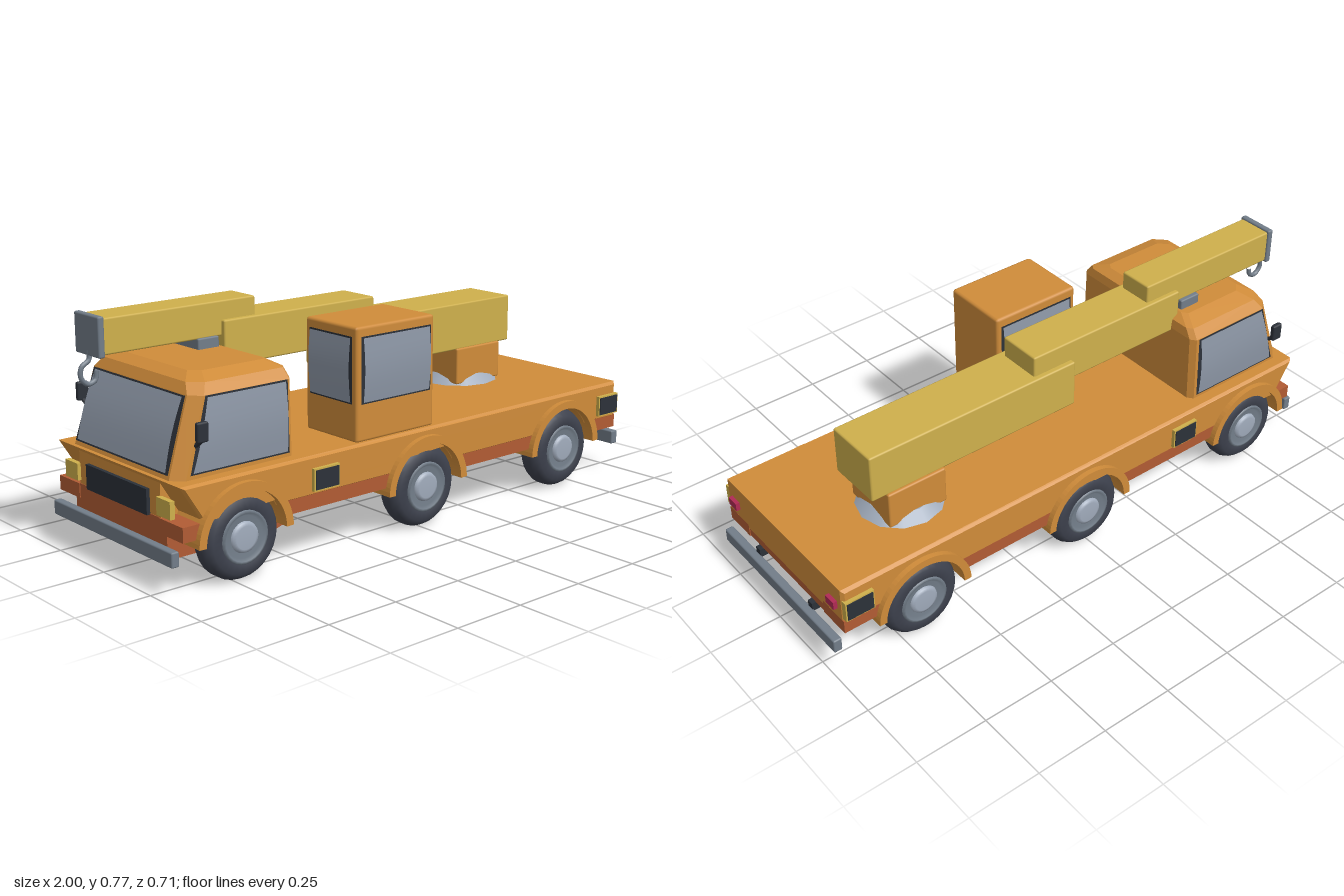
import * as THREE from 'three';
import { RoundedBoxGeometry } from 'three/addons/geometries/RoundedBoxGeometry.js';
import { ConvexGeometry } from 'three/addons/geometries/ConvexGeometry.js';

const mat = (name, color, extra = {}) => {
  const m = new THREE.MeshStandardMaterial({ color, ...extra });
  m.name = name;
  return m;
};

export function createModel() {
  const truck = new THREE.Group();
  truck.name = 'craneTruck';

  const orange = mat('orange paint', 0xd08c3a);
  const rust = mat('rust underbody', 0xb25c34);
  const yellow = mat('yellow paint', 0xcfb04c);
  const glass = mat('glass', 0x8d97a6, { side: THREE.DoubleSide });
  const steel = mat('steel', 0x727d89);
  const silver = mat('silver', 0xa0abbb);
  const rubber = mat('rubber', 0x3d414d);
  const black = mat('black trim', 0x2c3139, { side: THREE.DoubleSide });
  const red = mat('red lamp', 0xb02a54);

  const add = (name, geometry, material) => {
    const mesh = new THREE.Mesh(geometry, material);
    mesh.name = name;
    truck.add(mesh);
    return mesh;
  };
  // Box given by its extents on each axis, with an optional bevel
  const box = (name, m, [x0, x1], [y0, y1], [z0, z1], r = 0) => {
    const s = [x1 - x0, y1 - y0, z1 - z0];
    const g = r ? new RoundedBoxGeometry(...s, 1, r) : new THREE.BoxGeometry(...s);
    g.translate((x0 + x1) / 2, (y0 + y1) / 2, (z0 + z1) / 2);
    return add(name, g, m);
  };
  // Four-cornered sheet (counter-clockwise from outside), lifted and bulged along its normal
  const panel = (name, m, corners, lift, bulge = 0) => {
    const [a, b, c, d] = corners.map(p => new THREE.Vector3(...p));
    const n = b.clone().sub(a).cross(d.clone().sub(a)).normalize();
    const g = new THREE.PlaneGeometry(1, 1, 2, 6);
    const p = g.attributes.position;
    for (let i = 0; i < p.count; i++) {
      const u = p.getX(i) + 0.5, v = p.getY(i) + 0.5;
      const q = a.clone().lerp(b, u).lerp(d.clone().lerp(c, u), v);
      q.addScaledVector(n, lift + bulge * Math.sin(Math.PI * v));
      p.setXYZ(i, q.x, q.y, q.z);
    }
    g.computeVertexNormals();
    return add(name, g, m);
  };
  // Window with a dark seal around it
  const windowPane = (name, corners) => {
    const mid = [0, 1, 2].map(k => corners.reduce((s, p) => s + p[k], 0) / 4);
    const rim = corners.map(p => p.map((v, k) => mid[k] + (v - mid[k]) * 1.05));
    panel(name + 'Seal', black, rim, 0.002);
    panel(name, glass, corners, 0.004, 0.007);
  };
  const mirrored = ([a, b, c, d]) => [b, a, d, c].map(([x, y, z]) => [x, y, -z]);

  const axles = [-0.725, 0.01, 0.675], hubY = 0.138;

  // Deck with round notches over the wheels
  const sillY = 0.212, bevel = 0.01;
  const notch = Math.asin((sillY - hubY) / 0.15);
  const profile = new THREE.Shape();
  profile.moveTo(-0.93, sillY);
  for (const x of axles) profile.absarc(x, hubY, 0.155, Math.PI - notch, notch, true);
  profile.lineTo(0.95, sillY);
  profile.lineTo(0.95, 0.325);
  profile.lineTo(-0.93, 0.325);
  const deck = new THREE.ExtrudeGeometry(profile, {
    depth: 0.655, bevelThickness: bevel, bevelSize: bevel, bevelSegments: 1, curveSegments: 16,
  });
  add('deck', deck.translate(0, 0, -0.3275), orange);
  box('deckCore', orange, [-0.935, 0.955], [0.2, 0.33], [-0.22, 0.22]);

  // Sills between the arches, and the underside
  box('underside', rust, [-0.937, 0.957], [0.168, 0.214], [-0.225, 0.225]);
  const sills = [[-0.94, -0.873], [-0.577, -0.138], [0.158, 0.527], [0.823, 0.96]];
  for (const s of [-1, 1]) for (const range of sills)
    box('sill', rust, range, [0.167, 0.214], s > 0 ? [0.22, 0.336] : [-0.336, -0.22]);
  for (const z of [-0.155, 0.155])
    box('chassisRail', black, [-0.49, 0.955], [0.161, 0.17], [z - 0.018, z + 0.018]);

  // Cab floor with a sloping rear
  const floor = [];
  for (const z of [-0.248, 0.248])
    for (const [x, y] of [[-0.935, 0.2], [-0.935, 0.11], [-0.915, 0.09], [-0.55, 0.09], [-0.49, 0.11], [-0.49, 0.2]])
      floor.push(new THREE.Vector3(x, y, z));
  add('cabFloor', new ConvexGeometry(floor), rust);

  // Wheel arches and wheels
  const arch = new THREE.Shape();
  arch.absarc(0, 0, 0.173, 0.02, Math.PI - 0.02, false);
  arch.absarc(0, 0, 0.147, Math.PI - 0.02, 0.02, true);
  const archGeo = new THREE.ExtrudeGeometry(arch, { depth: 0.134, bevelEnabled: false, curveSegments: 18 });
  const turned = pts => new THREE.LatheGeometry(pts.map(p => new THREE.Vector2(...p)), 28).rotateX(Math.PI / 2);
  const tyreGeo = turned([[0, -0.047], [0.085, -0.047], [0.115, -0.045], [0.13, -0.03], [0.138, -0.014],
    [0.138, 0.014], [0.13, 0.03], [0.115, 0.045], [0.085, 0.047], [0.078, 0.035], [0, 0.035]]);
  const rimGeo = turned([[0.083, 0.034], [0.083, 0.048], [0.074, 0.05], [0.066, 0.041], [0, 0.041]]);
  const hubGeo = turned([[0.05, 0.038], [0.046, 0.049], [0.036, 0.052], [0, 0.052]]);
  for (const s of [-1, 1]) for (const x of axles) {
    add('wheelArch', archGeo, orange).position.set(x, hubY, s > 0 ? 0.222 : -0.356);
    for (const [name, g, m] of [['tyre', tyreGeo, rubber], ['rim', rimGeo, steel], ['hub', hubGeo, silver]]) {
      const part = add(name, g, m);
      part.position.set(x, hubY, s * 0.297);
      part.rotation.y = s > 0 ? 0 : Math.PI;
    }
  }

  // Driver cab: sections of height, front x, back x, half width, corner cut
  const cab = [];
  for (const [y, f, b, w, c] of [[0.325, -0.93, -0.49, 0.29, 0.035], [0.57, -0.852, -0.49, 0.283, 0.035],
    [0.602, -0.835, -0.495, 0.258, 0.04], [0.622, -0.795, -0.525, 0.2, 0.03]])
    for (const s of [-1, 1])
      for (const [x, z] of [[f, w - c], [f + c, w], [b - 0.015, w], [b, w - 0.02]])
        cab.push(new THREE.Vector3(x, y, s * z));
  add('cab', new ConvexGeometry(cab), orange);
  const sideWindow = [[-0.868, 0.35, 0.29], [-0.522, 0.35, 0.29], [-0.522, 0.565, 0.284], [-0.808, 0.565, 0.284]];
  windowPane('leftSideWindow', sideWindow);
  windowPane('rightSideWindow', mirrored(sideWindow));
  windowPane('windscreen', [[-0.924, 0.35, -0.238], [-0.924, 0.35, 0.238], [-0.855, 0.563, 0.232], [-0.855, 0.563, -0.232]]);

  // Door mirrors on short arms
  for (const s of [-1, 1]) {
    box('mirror', black, [-0.875, -0.835], [0.447, 0.508], s > 0 ? [0.312, 0.33] : [-0.33, -0.312], 0.006);
    const arm = new THREE.LineCurve3(new THREE.Vector3(-0.852, 0.425, s * 0.28), new THREE.Vector3(-0.855, 0.452, s * 0.32));
    add('mirrorArm', new THREE.TubeGeometry(arm, 1, 0.007, 6), black);
  }

  // Crane operator cabin
  box('operatorCabin', orange, [-0.27, 0.06], [0.33, 0.698], [0.075, 0.319], 0.01);
  windowPane('cabinSideWindow', [[-0.244, 0.458, 0.319], [0.036, 0.458, 0.319], [0.036, 0.662, 0.319], [-0.244, 0.662, 0.319]]);
  windowPane('cabinInnerWindow', [[0.036, 0.458, 0.075], [-0.244, 0.458, 0.075], [-0.244, 0.662, 0.075], [0.036, 0.662, 0.075]]);
  windowPane('cabinFrontWindow', [[-0.27, 0.458, 0.1], [-0.27, 0.458, 0.294], [-0.27, 0.662, 0.294], [-0.27, 0.662, 0.1]]);

  // Turntable, post and telescopic boom
  const turntable = add('turntable', new THREE.CylinderGeometry(0.11, 0.147, 0.035, 12), steel);
  turntable.material = silver;
  turntable.position.set(0.582, 0.35, -0.095);
  box('cranePost', orange, [0.475, 0.69], [0.34, 0.47], [-0.2, 0.012], 0.006);
  box('boomBase', yellow, [-0.053, 0.742], [0.466, 0.632], [-0.19, 0.005], 0.006);
  box('boomMiddle', yellow, [-0.52, 0.103], [0.557, 0.703], [-0.172, -0.017], 0.006);
  box('boomTip', yellow, [-0.95, -0.387], [0.652, 0.764], [-0.156, -0.033], 0.006);
  box('boomEndPlate', steel, [-0.967, -0.945], [0.645, 0.771], [-0.162, -0.027], 0.006);
  box('boomRest', steel, [-0.615, -0.535], [0.61, 0.656], [-0.17, -0.025], 0.005);

  // Hook
  const hookPath = [[-0.96, 0.66], [-0.962, 0.632], [-0.988, 0.612], [-0.991, 0.58], [-0.968, 0.558], [-0.942, 0.568], [-0.937, 0.595]];
  const hookCurve = new THREE.CatmullRomCurve3(hookPath.map(([x, y]) => new THREE.Vector3(x, y, -0.095)));
  add('hook', new THREE.TubeGeometry(hookCurve, 24, 0.008, 8), steel);

  // Bumpers
  box('frontBumper', steel, [-0.973, -0.946], [0.095, 0.143], [-0.325, 0.325], 0.005);
  box('rearBumper', steel, [0.966, 0.996], [0.095, 0.143], [-0.325, 0.325], 0.005);
  for (const z of [-0.155, 0.155])
    box('rearBumperBracket', black, [0.9, 0.97], [0.135, 0.165], [z - 0.012, z + 0.012]);

  // Grille, lamps and side lockers
  box('grille', black, [-0.947, -0.93], [0.21, 0.29], [-0.165, 0.165]);
  for (const s of [-1, 1]) {
    const span = (a, b) => s > 0 ? [a, b] : [-b, -a];
    box('headlamp', yellow, [-0.947, -0.93], [0.225, 0.28], span(0.215, 0.285));
    box('tailLamp', red, [0.95, 0.974], [0.25, 0.279], span(0.263, 0.307));
    for (const x of [-0.415, 0.907]) {
      box('sideMarkerFrame', yellow, [x - 0.051, x + 0.051], [0.223, 0.295], span(0.33, 0.35));
      box('sideMarkerFace', black, [x - 0.046, x + 0.046], [0.228, 0.29], span(0.348, 0.353));
    }
  }
  return truck;
}
